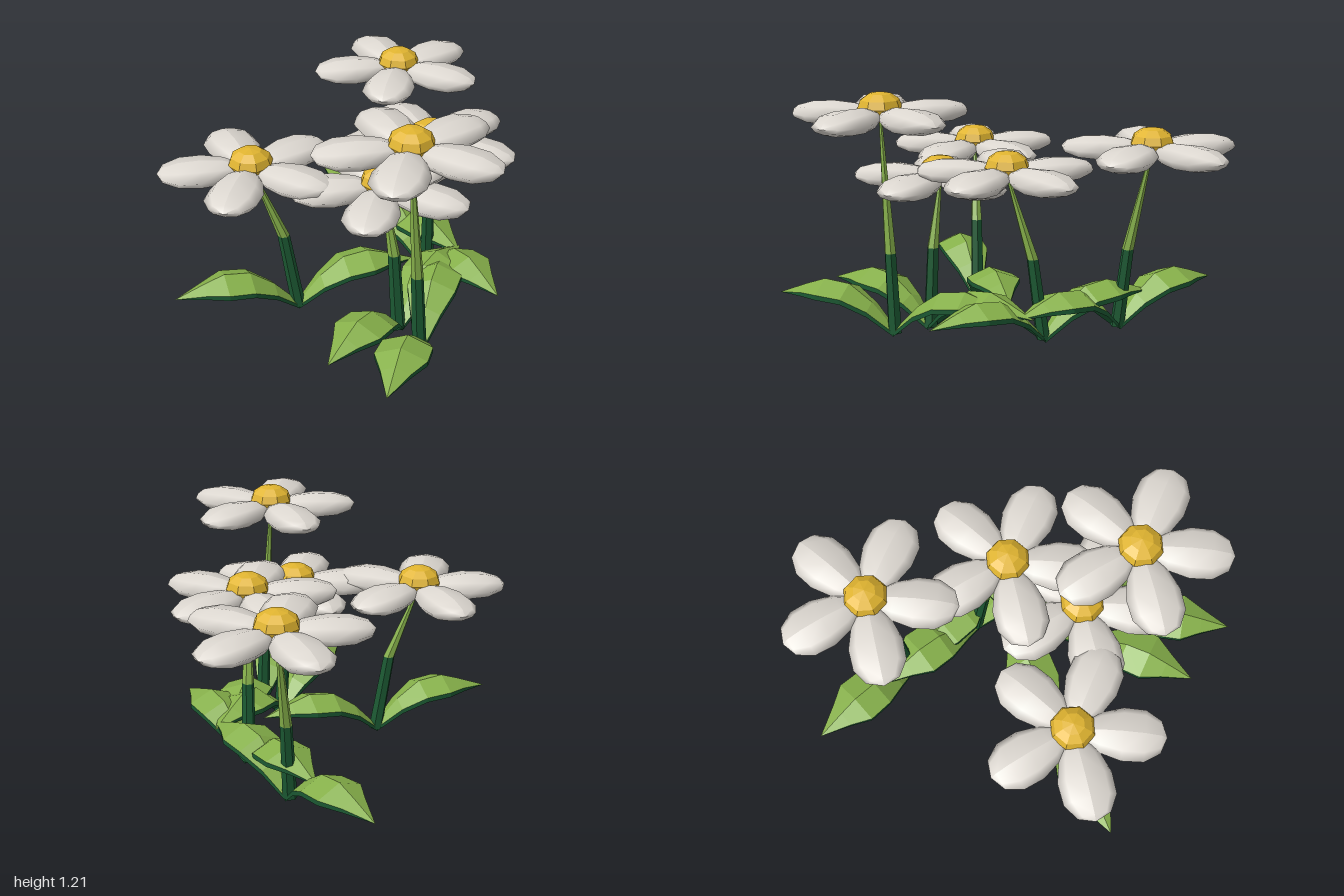
import * as THREE from 'three';

const petalMat = new THREE.MeshStandardMaterial({ color: 0xdcd7d0 });
petalMat.name = 'petalWhite';
const centreMat = new THREE.MeshStandardMaterial({ color: 0xe0b430 });
centreMat.name = 'centreYellow';
const lightMat = new THREE.MeshStandardMaterial({ color: 0x86b04a });
lightMat.name = 'lightGreen';
const darkMat = new THREE.MeshStandardMaterial({ color: 0x1b5832 });
darkMat.name = 'darkGreen';

function facet(geometry) {
  const g = geometry.index ? geometry.toNonIndexed() : geometry;
  g.computeVertexNormals();
  return g;
}

function named(geometry, material, name) {
  const mesh = new THREE.Mesh(geometry, material);
  mesh.name = name;
  return mesh;
}

// Petal: stretched sphere along +x, narrower towards the flower centre
function petalGeometry() {
  const g = new THREE.SphereGeometry(1, 8, 6).rotateZ(-Math.PI / 2);
  const p = g.attributes.position;
  for (let i = 0; i < p.count; i++) {
    const x = p.getX(i), taper = 1 + 0.25 * x;
    p.setXYZ(i, 0.235 + 0.21 * x, p.getY(i) * 0.06, p.getZ(i) * 0.13 * taper);
  }
  g.computeVertexNormals();
  return g;
}

// Leaf: arched, ridged blade along +z, light above and dark below
function leafGeometry() {
  // distance, ridge height, half width, thickness
  const sections = [
    [0.0, 0.02, 0.025, 0.02],
    [0.12, 0.15, 0.075, 0.025],
    [0.24, 0.235, 0.12, 0.025],
    [0.37, 0.25, 0.125, 0.025],
    [0.47, 0.215, 0.07, 0.02],
    [0.62, 0.155, 0.0, 0.0],
  ];
  const rings = sections.map(([z, y, w, t]) => {
    const e = y - w * 0.4;
    return [[-w, e, z], [0, y, z], [w, e, z], [w, e - t, z], [0, y - t, z], [-w, e - t, z]];
  });
  const pos = [];
  const g = new THREE.BufferGeometry();
  let lightCount = 0;
  for (let j = 0; j < 6; j++) {
    const k = (j + 1) % 6;
    for (let i = 0; i < rings.length - 1; i++) {
      const a = rings[i][j], b = rings[i + 1][j], c = rings[i + 1][k], d = rings[i][k];
      pos.push(...a, ...b, ...d);
      if (i < rings.length - 2) pos.push(...b, ...c, ...d);
    }
    if (j === 1) lightCount = pos.length / 3;
  }
  g.setAttribute('position', new THREE.Float32BufferAttribute(pos, 3));
  g.addGroup(0, lightCount, 0);
  g.addGroup(lightCount, pos.length / 3 - lightCount, 1);
  g.computeVertexNormals();
  return g;
}

// Tapered stem piece sheared between two points
function stemPiece(a, b, ra, rb) {
  const h = b.y - a.y;
  const g = new THREE.CylinderGeometry(rb, ra, h, 6);
  const p = g.attributes.position;
  for (let i = 0; i < p.count; i++) {
    const t = p.getY(i) / h + 0.5;
    p.setXYZ(i, p.getX(i) + a.x + (b.x - a.x) * t, a.y + h * t, p.getZ(i) + a.z + (b.z - a.z) * t);
  }
  return facet(g);
}

export function createModel() {
  const model = new THREE.Group();
  model.name = 'daisyClump';
  const petalGeo = petalGeometry();
  const leafGeo = leafGeometry();
  const centreGeo = facet(new THREE.SphereGeometry(0.11, 8, 6).rotateY(Math.PI / 8));

  // base x/z, head x/y/z, direction of the first leaf
  const plants = [
    { base: [-0.23, 0.55], head: [-0.305, 1.09, 0.555], leaf: [-0.52, 0.33] },
    { base: [-0.42, -0.13], head: [-0.585, 0.785, -0.25], leaf: [-0.58, -0.26] },
    { base: [0.31, 0.05], head: [0.19, 0.83, 0.18], leaf: [-0.11, 0.6] },
    { base: [0.41, -0.36], head: [0.55, 0.92, -0.43], leaf: [0.06, -0.62] },
    { base: [-0.19, 0.36], head: [-0.21, 0.755, 0.27], leaf: [-0.61, 0.17] },
  ];

  for (const { base, head, leaf } of plants) {
    const plant = new THREE.Group();
    plant.name = 'flower';
    model.add(plant);

    // Stem in two colours
    const bottom = new THREE.Vector3(base[0], 0.005, base[1]);
    const top = new THREE.Vector3(...head);
    const mid = bottom.clone().lerp(top, 0.3).setY(0.41);
    plant.add(named(stemPiece(bottom, mid, 0.036, 0.03), darkMat, 'lowerStem'));
    plant.add(named(stemPiece(mid, top, 0.03, 0.007), lightMat, 'upperStem'));

    // Two opposite leaves
    for (let i = 0; i < 2; i++) {
      const blade = named(leafGeo, [lightMat, darkMat], 'leaf');
      blade.position.set(base[0], 0, base[1]);
      blade.rotation.y = Math.atan2(leaf[0], leaf[1]) + i * Math.PI;
      plant.add(blade);
    }

    // Flower head
    const bloom = new THREE.Group();
    bloom.name = 'flowerHead';
    bloom.position.set(...head);
    for (let i = 0; i < 5; i++) {
      const petal = named(petalGeo, petalMat, 'petal');
      petal.rotation.y = (i * Math.PI * 2) / 5;
      bloom.add(petal);
    }
    const centre = named(centreGeo, centreMat, 'flowerCentre');
    centre.position.y = 0.035;
    centre.scale.y = 0.7;
    bloom.add(centre);
    plant.add(bloom);
  }
  return model;
}
